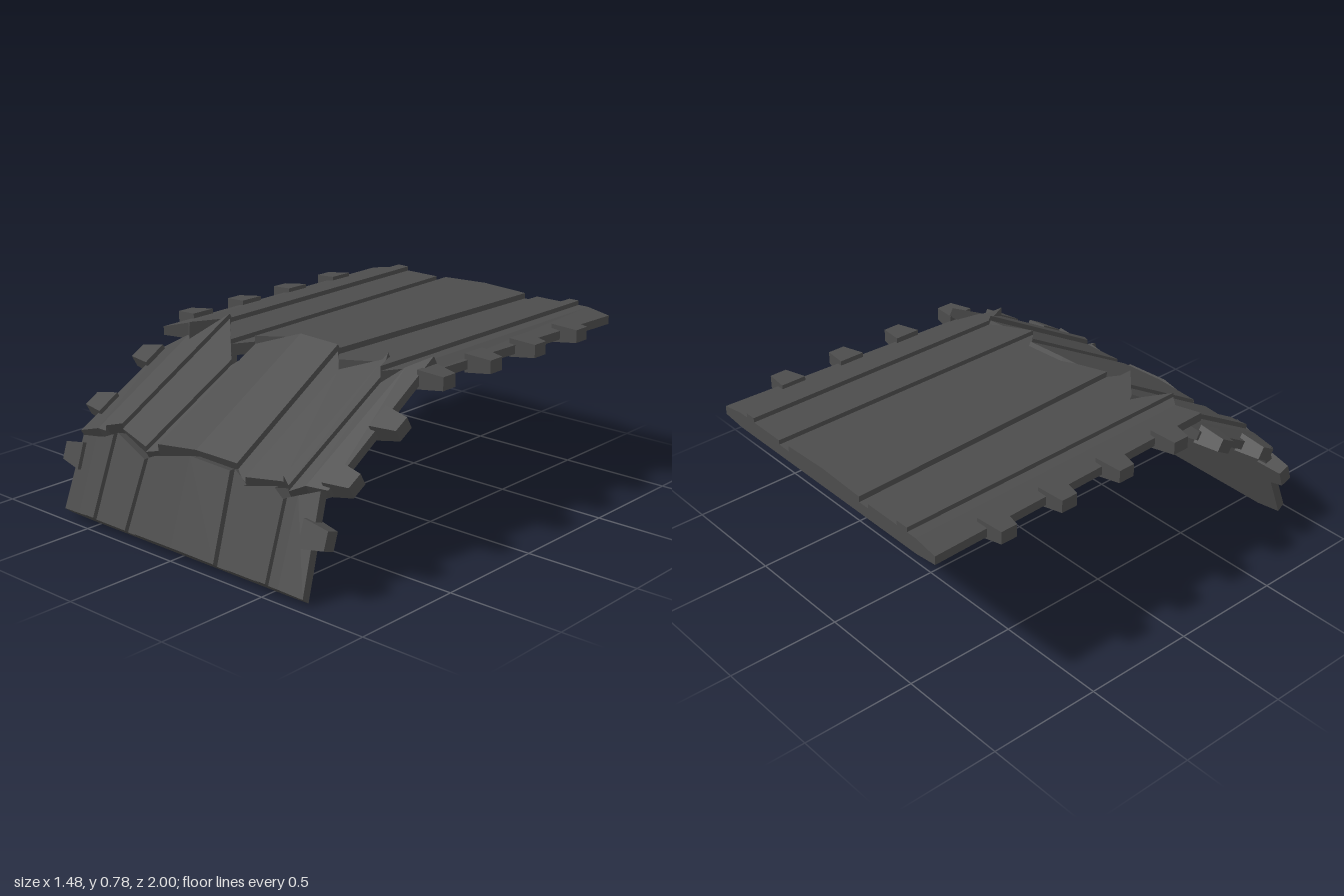
import * as THREE from 'three';

const mat = new THREE.MeshStandardMaterial({ color: 0x4c4c4c, flatShading: true, side: THREE.DoubleSide });

// Cross-section stations: wide x, narrow x, height,
// z of the upper joint, z of the middle joint, y of the lower panel's top edge
const STATIONS = [
  [-0.68, -0.64, 0.05, 0.42, 0.88, 0.34],
  [-0.57, -0.55, 0.07, 0.36, 0.87, 0.36],
  [-0.52, -0.50, 0.07, 0.40, 0.87, 0.37],
  [-0.52, -0.50, 0.09, 0.40, 0.87, 0.37],
  [-0.46, -0.42, 0.09, 0.24, 0.84, 0.40],
  [-0.46, -0.42, 0.07, 0.24, 0.84, 0.40],
  [-0.285, -0.23, 0.07, 0.42, 0.88, 0.335],
  [-0.285, -0.23, 0.05, 0.42, 0.88, 0.335],
  [-0.23, -0.18, 0.05, 0.33, 0.86, 0.36],
  [-0.23, -0.18, 0.075, 0.33, 0.86, 0.36],
  [0, 0, 0.085, 0.245, 0.845, 0.41],
  [0.23, 0.20, 0.075, 0.24, 0.835, 0.40],
  [0.23, 0.20, 0.05, 0.24, 0.835, 0.40],
  [0.295, 0.295, 0.05, 0.34, 0.87, 0.36],
  [0.295, 0.295, 0.07, 0.34, 0.87, 0.36],
  [0.47, 0.465, 0.07, 0.24, 0.84, 0.40],
  [0.47, 0.465, 0.09, 0.24, 0.84, 0.40],
  [0.52, 0.52, 0.09, 0.35, 0.87, 0.37],
  [0.52, 0.52, 0.07, 0.35, 0.87, 0.37],
  [0.57, 0.57, 0.07, 0.26, 0.83, 0.39],
  [0.68, 0.63, 0.05, 0.16, 0.80, 0.42],
].map(([wide, narrow, h, z1, z2, y3]) => ({ wide, narrow, h, z1, z2, y3 }));

// Slab lofted across the stations; start and end give the length limits of each one
function slab(wStart, wEnd, start, end, bevel = 0) {
  const pos = [], idx = [];
  STATIONS.forEach((c) => {
    const xs = THREE.MathUtils.lerp(c.narrow, c.wide, wStart);
    const xe = THREE.MathUtils.lerp(c.narrow, c.wide, wEnd);
    const low = Math.abs(c.wide) > 0.6 ? 0.012 : 0;
    const s = start(c), e = end(c);
    pos.push(xs, c.h, s, xe, c.h, e - bevel * c.h, xe, low, e - bevel * low, xs, low, s);
  });
  const quad = (a, b, c, d) => idx.push(a, b, c, a, c, d);
  const last = (STATIONS.length - 1) * 4;
  for (let a = 0; a < last; a += 4) {
    for (let k = 0; k < 4; k++) {
      const n = (k + 1) % 4;
      quad(a + k, a + n, a + 4 + n, a + 4 + k);
    }
  }
  quad(3, 2, 1, 0);
  quad(last, last + 1, last + 2, last + 3);
  const indexed = new THREE.BufferGeometry();
  indexed.setAttribute('position', new THREE.Float32BufferAttribute(pos, 3));
  indexed.setIndex(idx);
  const geo = indexed.toNonIndexed();
  geo.computeVertexNormals();
  return geo;
}

// Side lug, tapering outwards
function lugGeometry(side) {
  const geo = new THREE.BoxGeometry(0.115, 0.08, 0.115).toNonIndexed();
  const p = geo.attributes.position;
  for (let i = 0; i < p.count; i++) {
    if (p.getX(i) * side > 0) {
      p.setY(i, p.getY(i) * 0.7);
      p.setZ(i, p.getZ(i) * 0.66);
    }
  }
  geo.computeVertexNormals();
  return geo;
}

// Panel with its mirrored rows of lugs, tilted about x
function panel(name, geo, y, z, angle, lugs) {
  const g = new THREE.Group();
  g.name = name;
  const plate = new THREE.Mesh(geo, mat);
  plate.name = name + 'Plate';
  g.add(plate);
  for (const side of [-1, 1]) {
    const lugGeo = lugGeometry(side);
    for (const s of lugs) {
      const lug = new THREE.Mesh(lugGeo, mat);
      lug.name = 'sideLug';
      lug.position.set(side * 0.6825, 0.036, s);
      g.add(lug);
    }
  }
  g.position.set(0, y, z);
  g.rotation.x = angle;
  return g;
}

export function createModel() {
  const model = new THREE.Group();
  model.name = 'ribbedCover';

  // Flat rear panel
  model.add(panel('rearPanel', slab(1, 0, () => -1, (c) => c.z1),
    0.67, 0, 0, [-0.7, -0.4, -0.1, 0.2]));

  // Sloping middle panel
  const along = (z, h) => (z - 0.25 - 0.5 * h) / 0.866;
  model.add(panel('middlePanel', slab(0, 0.5, (c) => along(c.z1, c.h), (c) => along(c.z2, c.h)),
    0.67, 0.25, Math.PI / 6, [0.235, 0.54]));

  // Steep front panel with a bevelled lower edge
  model.add(panel('frontPanel', slab(0.5, 1, (c) => (0.34 + 0.316 * c.h - c.y3) / 0.949, () => 0.355, 0.36),
    0.34, 0.814, 1.249, [0.1]));

  return model;
}
